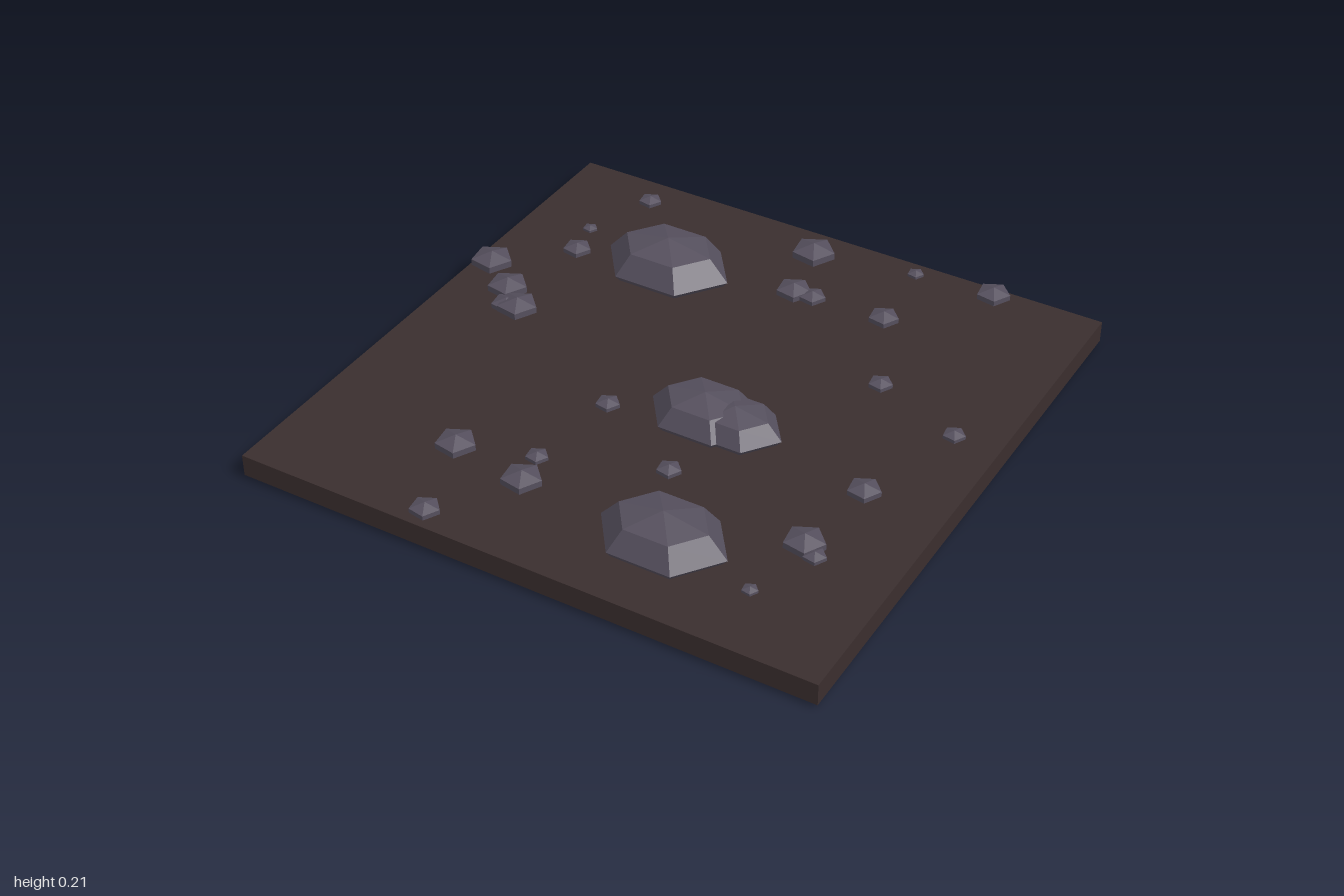
import * as THREE from 'three';

export function createModel() {
  const group = new THREE.Group();
  group.name = 'rockyGround';

  const soil = new THREE.MeshStandardMaterial({ color: 0x3a2e2e, flatShading: true });
  soil.name = 'dark soil';
  const stone = new THREE.MeshStandardMaterial({ color: 0x554f5d, flatShading: true });
  stone.name = 'grey stone';

  function add(name, geometry, material, x, y, z) {
    const mesh = new THREE.Mesh(geometry, material);
    mesh.name = name;
    mesh.position.set(x, y, z);
    group.add(mesh);
    return mesh;
  }

  // Ground slab
  const top = 0.09;
  add('groundSlab', new THREE.BoxGeometry(1.988, 0.075, 1.988), soil, 0.002, top - 0.0375, 0.004);

  // Boulders: six-sided flattened domes [x, z, radius]
  const boulderGeometry = new THREE.SphereGeometry(1, 6, 4);
  const boulders = [
    [-0.395, -0.54, 0.23], [0.325, 0.695, 0.215],
    [0.135, 0.125, 0.19], [0.242, 0.128, 0.165],
  ];
  boulders.forEach(([x, z, r], i) => {
    add('boulder' + (i + 1), boulderGeometry, stone, x, 0.109, z).scale.set(r, r * 0.46, r * 0.78);
  });

  // Pebbles: five-sided stones half sunk into the slab [x, z, width]
  const pebbleGeometry = new THREE.SphereGeometry(1, 5, 3);
  pebbleGeometry.rotateY(Math.PI + 0.14);
  const pebbles = [
    [-0.665, -0.87, 0.075], [-0.01, -0.865, 0.139], [0.345, -0.93, 0.053], [0.625, -0.945, 0.107],
    [-0.755, -0.615, 0.048], [0.04, -0.63, 0.112], [0.11, -0.63, 0.085], [0.37, -0.64, 0.096],
    [-0.722, -0.48, 0.091], [-0.932, -0.272, 0.133], [-0.798, -0.168, 0.128], [-0.745, -0.08, 0.096],
    [-0.705, -0.085, 0.128], [0.525, -0.31, 0.075], [0.84, -0.187, 0.069], [-0.165, 0.215, 0.075],
    [0.725, 0.195, 0.101], [0.17, 0.403, 0.075], [-0.21, 0.55, 0.069], [-0.187, 0.668, 0.123],
    [-0.457, 0.625, 0.123], [0.685, 0.497, 0.123], [0.738, 0.535, 0.069], [0.647, 0.755, 0.048],
    [-0.358, 0.928, 0.091],
  ];
  pebbles.forEach(([x, z, width], i) => {
    const r = width / (1.85 * 0.866);
    add('pebble' + (i + 1), pebbleGeometry, stone, x, top, z).scale.set(r, r * 0.55, r);
  });

  return group;
}
